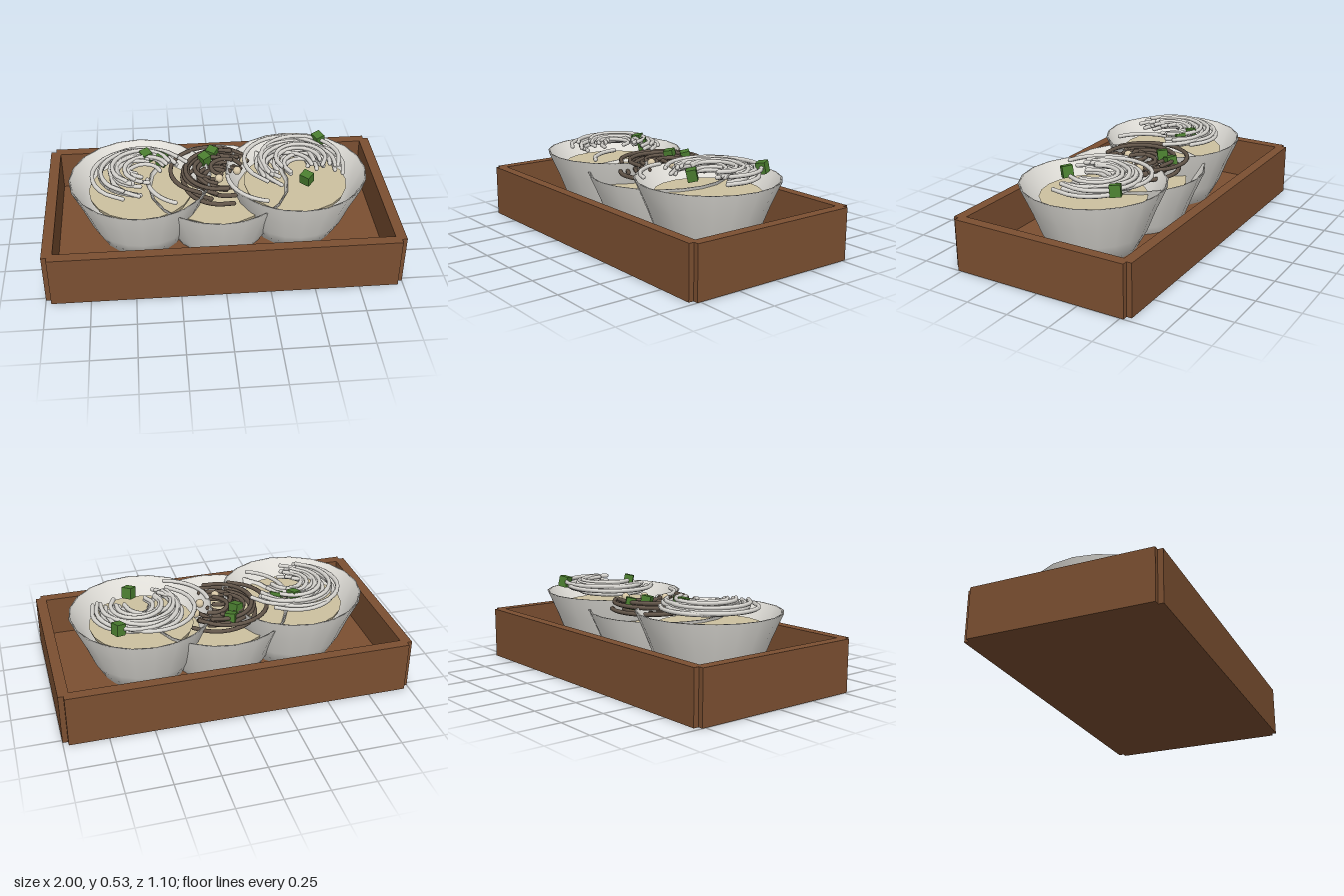
import * as THREE from 'three';

const material = (name, color) => {
  const m = new THREE.MeshStandardMaterial({ color });
  m.name = name;
  return m;
};

// Small seeded generator for the loose noodle strands
function seeded(seed) {
  let s = seed;
  return () => ((s = (s * 16807) % 2147483647) - 1) / 2147483646;
}

export function createModel() {
  const wood = material('wood', 0x7b4f31);
  const ceramic = material('ceramic', 0xe6e4de);
  const broth = material('broth', 0xcdc1a0);
  const paleNoodle = material('paleNoodle', 0xd9d7d2);
  const darkNoodle = material('darkNoodle', 0x63564a);
  const leaf = material('leaf', 0x4a7d2f);
  const bead = material('bead', 0xd6c6a6);

  const model = new THREE.Group();
  model.name = 'noodleTray';

  function add(parent, name, geometry, mat, x = 0, y = 0, z = 0) {
    const mesh = new THREE.Mesh(geometry, mat);
    mesh.name = name;
    mesh.position.set(x, y, z);
    parent.add(mesh);
    return mesh;
  }

  // Tray: floor and four walls with notched corners
  const tray = new THREE.Group();
  tray.name = 'tray';
  model.add(tray);
  add(tray, 'trayFloor', new THREE.BoxGeometry(1.94, 0.06, 1.04), wood, 0, 0.03, 0);
  for (const s of [-1, 1]) {
    add(tray, s > 0 ? 'frontWall' : 'backWall',
      new THREE.BoxGeometry(1.94, 0.3, 0.06), wood, 0, 0.15, s * 0.52);
    add(tray, s > 0 ? 'leftWall' : 'rightWall',
      new THREE.BoxGeometry(0.06, 0.3, 1.04), wood, s * 0.97, 0.15, 0);
  }

  // Bowl: flared wall with a thin rim, and a disc of broth
  const bowlProfile = [
    [0, 0], [0.24, 0], [0.30, 0.11], [0.35, 0.24], [0.41, 0.375],
    [0.398, 0.375], [0.338, 0.24], [0.288, 0.12], [0.23, 0.025], [0, 0.025],
  ].map(([x, y]) => new THREE.Vector2(x, y));
  const bowlGeometry = new THREE.LatheGeometry(bowlProfile, 20);
  const brothGeometry = new THREE.CylinderGeometry(0.3, 0.29, 0.03, 20);

  // One strand: a flat arc about (cx, cz), angles in degrees from +x towards +z
  function strand(parent, mat, cx, y, cz, r, from, to, rise = 0) {
    const points = [];
    for (let i = 0; i <= 8; i++) {
      const a = THREE.MathUtils.degToRad(from + (to - from) * i / 8);
      points.push(new THREE.Vector3(cx + r * Math.cos(a), y + rise * i / 8, cz + r * Math.sin(a)));
    }
    const curve = new THREE.CatmullRomCurve3(points);
    const g = new THREE.TubeGeometry(curve, 20, 0.013, 6, false);
    add(parent, 'strand', g, mat);
    // Closed ends
    [0, 1].forEach((t) => {
      const cap = add(parent, 'strandEnd', new THREE.SphereGeometry(0.013, 6, 4), mat);
      cap.position.copy(curve.getPoint(t));
    });
  }

  // Nest: many overlapping arcs, growing smaller towards the top
  function nest(parent, mat, count, seed, o) {
    const random = seeded(seed);
    for (let i = 0; i < count; i++) {
      const t = i / (count - 1);
      strand(parent, mat,
        o.x + (random() - 0.5) * 0.09, o.low + (o.high - o.low) * random(),
        o.z + (random() - 0.5) * 0.09, o.rMax + (o.rMin - o.rMax) * t,
        o.from + (random() - 0.5) * 40, o.to + (random() - 0.5) * 50,
        (random() - 0.5) * 0.012);
    }
  }

  const servings = [
    { name: 'rightServing', x: -0.45, y: 0.06, mat: paleNoodle, count: 17, seed: 71,
      nest: { x: -0.43, z: -0.01, low: 0.445, high: 0.505, rMin: 0.08, rMax: 0.25, from: 105, to: 325 } },
    { name: 'middleServing', x: 0, y: 0, mat: darkNoodle, count: 15, seed: 523,
      nest: { x: 0.01, z: -0.02, low: 0.385, high: 0.45, rMin: 0.06, rMax: 0.24, from: 95, to: 315 } },
    { name: 'leftServing', x: 0.45, y: 0.06, mat: paleNoodle, count: 17, seed: 977,
      nest: { x: 0.45, z: -0.03, low: 0.445, high: 0.505, rMin: 0.08, rMax: 0.25, from: 140, to: 375 } },
  ];
  for (const s of servings) {
    const group = new THREE.Group();
    group.name = s.name;
    model.add(group);
    add(group, 'bowl', bowlGeometry, ceramic, s.x, s.y + 0.002, 0);
    add(group, 'broth', brothGeometry, broth, s.x, s.y + 0.285, 0);
    const noodles = new THREE.Group();
    noodles.name = 'noodles';
    group.add(noodles);
    nest(noodles, s.mat, s.count, s.seed, s.nest);
  }

  // Loose strands trailing towards the front
  const loose = new THREE.Group();
  loose.name = 'looseStrands';
  model.add(loose);
  strand(loose, paleNoodle, -0.15, 0.44, 0.03, 0.26, 115, 180);
  strand(loose, paleNoodle, 0.32, 0.44, 0.03, 0.27, 105, 180);

  // Chopped green garnish: position, turn
  const garnish = [
    [-0.41, 0.485, -0.15, 0.5], [-0.32, 0.475, -0.12, 0.9],
    [-0.02, 0.44, -0.22, 1.0], [-0.07, 0.45, -0.14, 0.6],
    [0.62, 0.49, -0.245, 0.45], [0.49, 0.48, 0.145, 0.85],
  ];
  for (const [x, y, z, turn] of garnish) {
    const cube = add(model, 'garnish', new THREE.BoxGeometry(0.055, 0.065, 0.06), leaf, x, y, z);
    cube.rotation.set(0.12, turn, 0.12);
  }

  // Small round toppings in the middle bowl
  for (const [x, z] of [[0.16, -0.12], [0, 0.05], [0.11, -0.02]]) {
    add(model, 'topping', new THREE.SphereGeometry(0.025, 10, 8), bead, x, 0.44, z);
  }

  return model;
}
